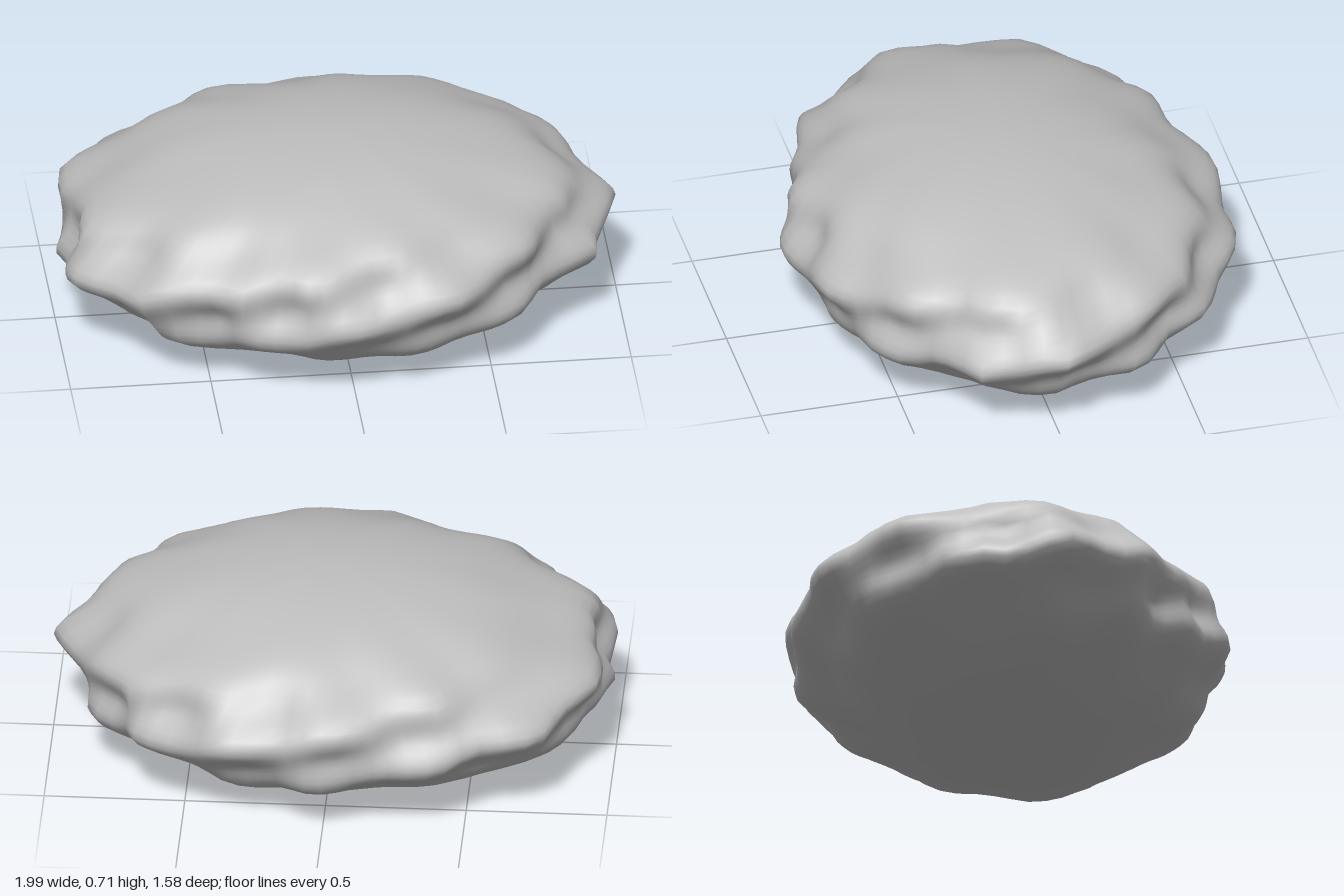
import * as THREE from 'three';

// Plan outline of the rim as [x, z], going round from +x towards +z
const OUTLINE = [
  [1, 0], [0.91, 0.2], [0.905, 0.29], [0.8, 0.35], [0.68, 0.43], [0.62, 0.52], [0.48, 0.62],
  [0.36, 0.73], [0.22, 0.75], [0.14, 0.74], [-0.03, 0.795], [-0.16, 0.76], [-0.24, 0.71],
  [-0.4, 0.67], [-0.5, 0.61], [-0.6, 0.59], [-0.75, 0.55], [-0.83, 0.43], [-0.98, 0.3],
  [-0.995, 0.2], [-0.96, 0.1], [-1, -0.01], [-0.96, -0.1], [-0.96, -0.3], [-0.83, -0.46],
  [-0.77, -0.6], [-0.64, -0.65], [-0.54, -0.66], [-0.41, -0.74], [-0.2, -0.74], [-0.03, -0.8],
  [0.17, -0.77], [0.36, -0.78], [0.5, -0.67], [0.67, -0.59], [0.73, -0.45], [0.85, -0.32],
  [0.89, -0.2], [0.94, -0.12],
];
const TAU = Math.PI * 2;
const RIM = OUTLINE.map(([x, z]) => [(Math.atan2(z, x) + TAU) % TAU, Math.hypot(x, z)]);
RIM.push([TAU, RIM[0][1]]);

function rimRadius(theta) {
  let i = 0;
  while (i < RIM.length - 2 && RIM[i + 1][0] < theta) i++;
  const [a0, r0] = RIM[i], [a1, r1] = RIM[i + 1];
  return r0 + (r1 - r0) * (theta - a0) / (a1 - a0);
}

const SEGMENTS = 80, RINGS = 44, CENTRE = 0.347, HALF_HEIGHT = 0.368;

// Flattened ellipsoid with soft diagonal ridges, crossed by smaller lumps
function baseRadius(theta) {
  return 1 / Math.hypot(Math.cos(theta) / 0.95, Math.sin(theta) / 0.76);
}
function relief(theta, phi) {
  const y = CENTRE + HALF_HEIGHT * Math.sin(phi);
  const ridges = 0.03 * Math.cos(5 * theta + 26 * y - 16);
  const lumps = 0.02 * Math.cos(11 * theta - 18 * y + 1.44);
  return Math.cos(phi) ** 3 * (ridges + lumps);
}

function rockGeometry() {
  const positions = [], indices = [];
  const latitude = (j) => Math.PI / 2 - (Math.PI * j) / RINGS;
  positions.push(0, CENTRE + HALF_HEIGHT, 0);
  const columns = [];
  for (let i = 0; i < SEGMENTS; i++) {
    const theta = (TAU * i) / SEGMENTS;
    const base = baseRadius(theta);
    let widest = 0;
    for (let j = 1; j < RINGS; j++) {
      const phi = latitude(j);
      widest = Math.max(widest, base * Math.cos(phi) * (1 + relief(theta, phi)));
    }
    columns.push({ theta, base, fit: rimRadius(theta) / widest });
  }
  for (let j = 1; j < RINGS; j++) {
    const phi = latitude(j), c = Math.cos(phi);
    for (const { theta, base, fit } of columns) {
      const swell = 1 + relief(theta, phi);
      const r = base * c * swell * (1 + (fit - 1) * c ** 4);
      const y = CENTRE + HALF_HEIGHT * Math.sin(phi) * swell;
      positions.push(r * Math.cos(theta), Math.max(0, y), r * Math.sin(theta)); // flat underside
    }
  }
  positions.push(0, 0, 0);
  const last = positions.length / 3 - 1;
  const at = (i, j) => 1 + (j - 1) * SEGMENTS + (i % SEGMENTS);
  for (let i = 0; i < SEGMENTS; i++) {
    indices.push(0, at(i + 1, 1), at(i, 1));
    for (let j = 1; j < RINGS - 1; j++) {
      const a = at(i, j), b = at(i + 1, j), c = at(i, j + 1), d = at(i + 1, j + 1);
      indices.push(a, b, d, a, d, c);
    }
    indices.push(at(i, RINGS - 1), at(i + 1, RINGS - 1), last);
  }
  const geometry = new THREE.BufferGeometry();
  geometry.setAttribute('position', new THREE.Float32BufferAttribute(positions, 3));
  geometry.setIndex(indices);
  geometry.computeVertexNormals();
  return geometry;
}

export function createModel() {
  const stone = new THREE.MeshStandardMaterial({ color: 0xbdbdbd });
  stone.name = 'pale grey stone';
  const rock = new THREE.Mesh(rockGeometry(), stone);
  rock.name = 'rock';
  const group = new THREE.Group();
  group.name = 'flat boulder';
  group.add(rock);
  return group;
}
